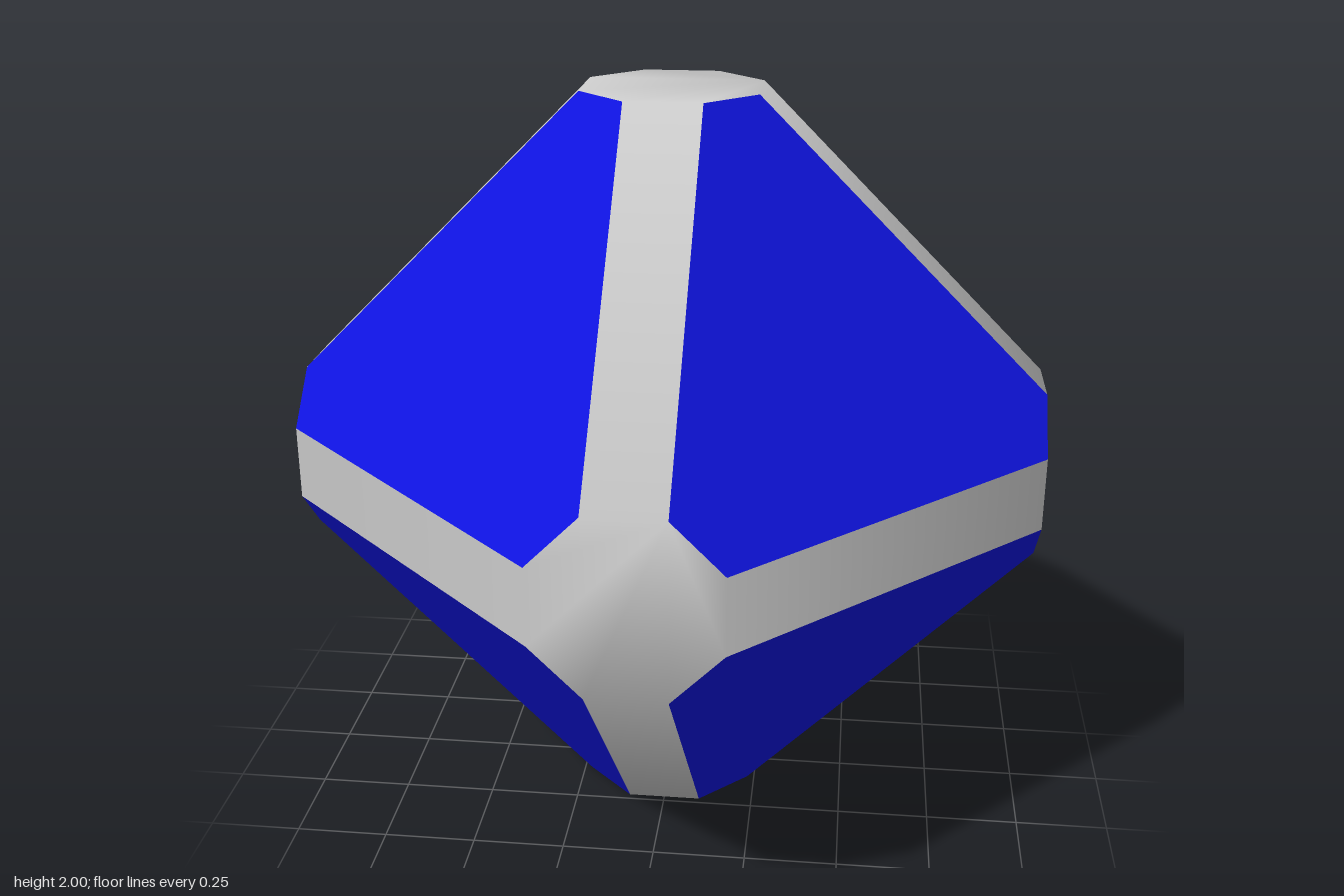
import * as THREE from 'three';

// Corners are every signed permutation of these three distances
const CAP = 1, MID = 0.23, HALF_STRIP = 0.1;

function allCorners() {
  const orders = [[0, 1, 2], [0, 2, 1], [1, 0, 2], [1, 2, 0], [2, 0, 1], [2, 1, 0]];
  const size = [CAP, MID, HALF_STRIP];
  const corners = [];
  for (const o of orders)
    for (const sx of [-1, 1]) for (const sy of [-1, 1]) for (const sz of [-1, 1])
      corners.push(new THREE.Vector3(sx * size[o[0]], sy * size[o[1]], sz * size[o[2]]));
  return corners;
}

// Rounded frame normal: halfway between the cap and the edge strip meeting at a corner
function frameNormal(v) {
  const pick = limit => new THREE.Vector3(
    ...v.toArray().map(c => (Math.abs(c) > limit ? Math.sign(c) : 0))).normalize();
  return pick(0.5).add(pick(0.15)).normalize();
}

// Flat polygon through the corners lying furthest along a direction
function faceGeometry(corners, direction, smooth) {
  const n = direction.clone().normalize();
  const reach = Math.max(...corners.map(c => c.dot(n)));
  const ring = corners.filter(c => c.dot(n) > reach - 1e-4);
  const centre = n.clone().multiplyScalar(reach);
  const u = ring[0].clone().sub(centre).normalize();
  const w = n.clone().cross(u);
  const angle = p => Math.atan2(p.clone().sub(centre).dot(w), p.clone().sub(centre).dot(u));
  ring.sort((a, b) => angle(a) - angle(b));

  const index = [];
  for (let i = 1; i < ring.length - 1; i++) index.push(0, i, i + 1);
  const normals = ring.map(p => (smooth ? frameNormal(p) : n));
  const geometry = new THREE.BufferGeometry().setFromPoints(ring);
  geometry.setAttribute('normal',
    new THREE.Float32BufferAttribute(normals.flatMap(p => p.toArray()), 3));
  geometry.setIndex(index);
  return geometry;
}

export function createModel() {
  const group = new THREE.Group();
  group.name = 'bevelledOctahedron';
  const grey = new THREE.MeshStandardMaterial({ color: 0xcccccc });
  const blue = new THREE.MeshStandardMaterial({ color: 0x0f13e0 });
  const corners = allCorners();

  // Direction type by number of axes: 1 = corner cap, 2 = edge strip, 3 = face panel
  const names = ['', 'cornerCap', 'edgeStrip', 'facePanel'];
  for (const x of [-1, 0, 1]) for (const y of [-1, 0, 1]) for (const z of [-1, 0, 1]) {
    const axes = Math.abs(x) + Math.abs(y) + Math.abs(z);
    if (axes === 0) continue;
    const isPanel = axes === 3;
    const mesh = new THREE.Mesh(
      faceGeometry(corners, new THREE.Vector3(x, y, z), !isPanel), isPanel ? blue : grey);
    mesh.name = names[axes];
    mesh.position.y = CAP;
    group.add(mesh);
  }
  return group;
}
